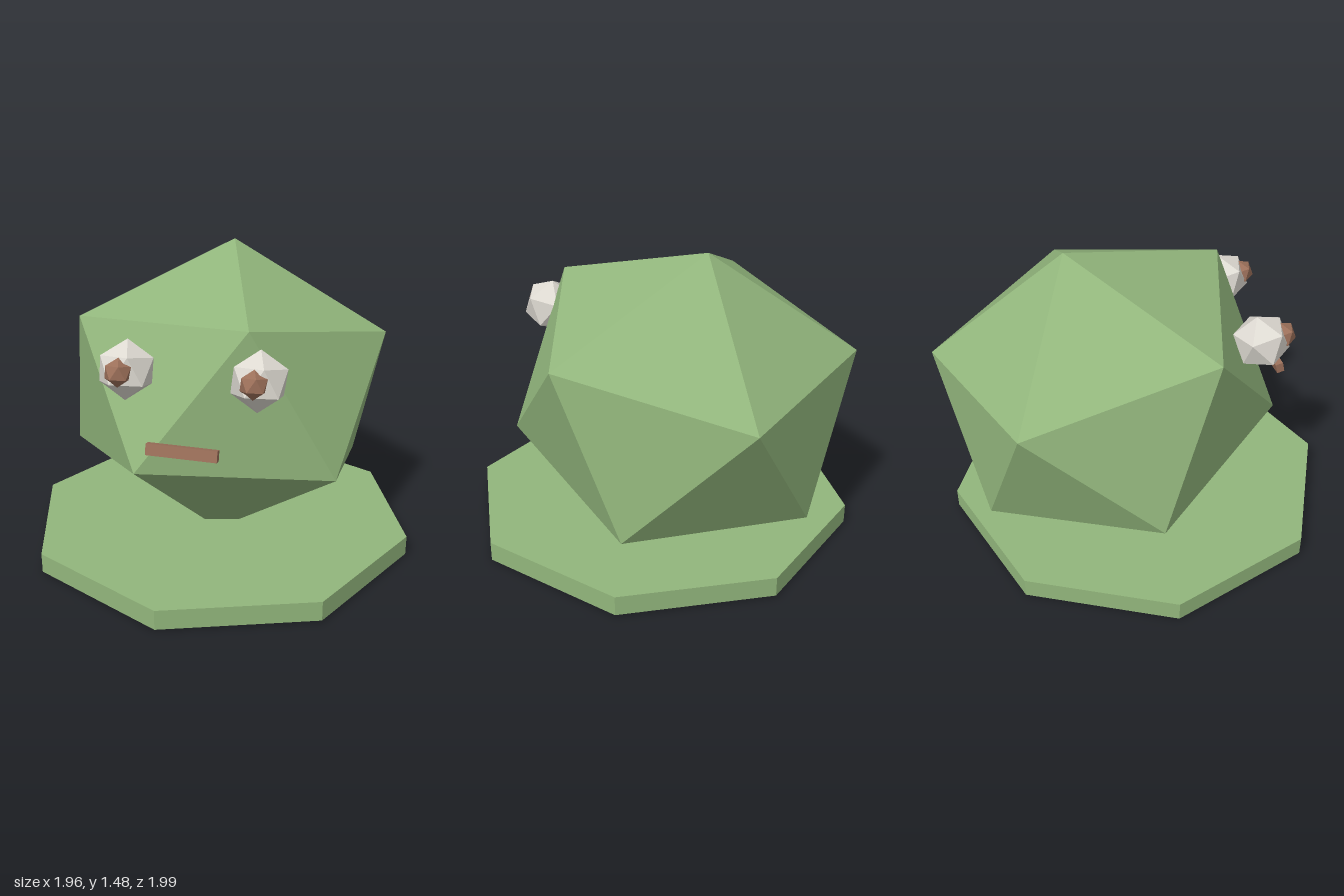
import * as THREE from 'three';

export function createModel() {
  const model = new THREE.Group();
  model.name = 'creature';

  const makeMaterial = (name, color) => {
    const material = new THREE.MeshStandardMaterial({ color });
    material.name = name;
    return material;
  };
  const green = makeMaterial('leaf green', 0x92b67c);
  const white = makeMaterial('warm white', 0xdedad2);
  const brown = makeMaterial('brown', 0x9c705a);

  // Head parts share one lean: tilted back and turned slightly
  const lean = [-0.24, 0.07, 0.013];

  const add = (name, geometry, material, position, rotation = [0, 0, 0]) => {
    const mesh = new THREE.Mesh(geometry, material);
    mesh.name = name;
    mesh.position.set(...position);
    mesh.rotation.set(...rotation);
    model.add(mesh);
    return mesh;
  };

  // Twenty-sided ball with a corner pointing straight up
  const poleUpBall = (radius) => {
    const geometry = new THREE.IcosahedronGeometry(radius, 0);
    return geometry.rotateZ(-Math.atan(2 / (1 + Math.sqrt(5))));
  };

  // Octagonal base with flat facets
  const slab = new THREE.CylinderGeometry(0.98, 0.98, 0.098, 8).toNonIndexed();
  slab.computeVertexNormals();
  add('base', slab, green, [0, 0.058, 0.015]);

  // Squashed body, its lowest corner just piercing the base
  const body = add('body', poleUpBall(0.893), green, [-0.02, 0.7425, -0.16], lean);
  body.scale.y = 0.855;

  // Eyes and pupils
  const eyeShape = poleUpBall(0.14);
  const pupilShape = poleUpBall(0.067);
  for (const [side, x, z] of [['right', -0.275, 0.555], ['left', 0.338, 0.53]]) {
    add(`${side}Eye`, eyeShape, white, [x, 1.05, z], lean);
    add(`${side}Pupil`, pupilShape, brown, [x + 0.003, 1.07, z + 0.103], lean);
  }

  // Bar mouth
  add('mouth', new THREE.BoxGeometry(0.325, 0.052, 0.039), brown, [0.043, 0.752, 0.717], [-0.24, 0.07, 0]);

  return model;
}
